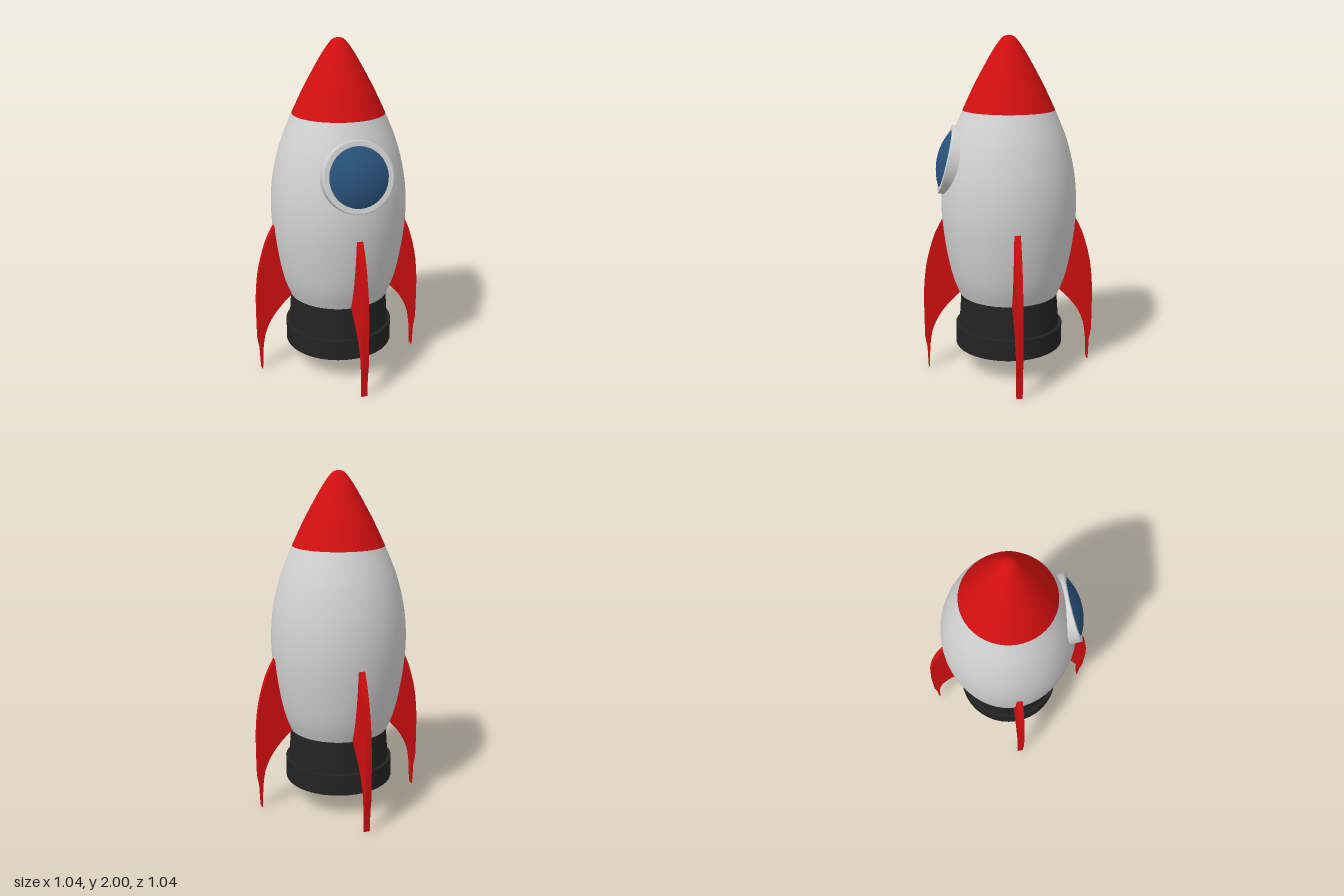
import * as THREE from 'three';

const material = (name, color) => {
  const m = new THREE.MeshStandardMaterial({ color });
  m.name = name;
  return m;
};

const v2 = (points) => points.map(([x, y]) => new THREE.Vector2(x, y));

// Smooth lathe through a few (radius, height) points
const turned = (points, steps) =>
  new THREE.LatheGeometry(new THREE.SplineCurve(v2(points)).getPoints(steps), 48);

export function createModel() {
  const red = material('red paint', 0xd20f10);
  const white = material('hull white', 0xd2d2d2);
  const black = material('engine black', 0x232323);
  const blue = material('window blue', 0x28527a);

  const rocket = new THREE.Group();
  rocket.name = 'rocket';
  const add = (parent, name, geometry, mat) => {
    const mesh = new THREE.Mesh(geometry, mat);
    mesh.name = name;
    parent.add(mesh);
    return mesh;
  };

  // Hull and nose cone
  add(rocket, 'hull', turned([
    [0.3, 0.475], [0.345, 0.6], [0.383, 0.8], [0.4, 1.0],
    [0.387, 1.2], [0.34, 1.4], [0.268, 1.578],
  ], 30), white);
  const hullBase = add(rocket, 'hullBase', new THREE.CircleGeometry(0.3, 48), white);
  hullBase.rotation.x = Math.PI / 2;
  hullBase.position.y = 0.475;
  add(rocket, 'noseCone', turned([
    [0.268, 1.578], [0.21, 1.7], [0.157, 1.8], [0.1, 1.9],
    [0.06, 1.96], [0.03, 1.992], [0, 2.0],
  ], 24), red);

  // Engine: tapered housing above a wider rim
  const housing = add(rocket, 'engineHousing', new THREE.CylinderGeometry(0.29, 0.305, 0.21, 40), black);
  housing.position.y = 0.375;
  const rim = add(rocket, 'engineRim', new THREE.CylinderGeometry(0.325, 0.325, 0.125, 40), black);
  rim.position.y = 0.213;

  // Round window, tilted to follow the hull
  const porthole = new THREE.Group();
  porthole.name = 'porthole';
  porthole.position.set(0, 1.297, 0.375);
  porthole.rotation.x = -0.245;
  rocket.add(porthole);
  const ring = new THREE.Shape().absarc(0, 0, 0.198, 0, Math.PI * 2);
  ring.holes.push(new THREE.Path().absarc(0, 0, 0.172, 0, Math.PI * 2, true));
  const frame = new THREE.ExtrudeGeometry(ring, {
    depth: 0.11, curveSegments: 32, bevelSize: 0.006, bevelThickness: 0.006, bevelSegments: 2,
  });
  frame.translate(0, 0, -0.116);
  add(porthole, 'windowFrame', frame, white);
  // Shallow glass dome
  const rise = 0.045, width = 0.17;
  const radius = (width * width + rise * rise) / (2 * rise);
  const dome = new THREE.SphereGeometry(radius, 40, 10, 0, Math.PI * 2, 0, Math.asin(width / radius));
  dome.translate(0, rise - radius, 0).rotateX(Math.PI / 2);
  add(porthole, 'windowGlass', dome, blue);

  // Four swept fins, each ending in a thin spike
  const outline = new THREE.Shape();
  outline.moveTo(0.37, 0.94);
  outline.lineTo(0.4, 0.93);
  outline.splineThru(v2([[0.452, 0.82], [0.496, 0.66], [0.515, 0.5], [0.518, 0.34], [0.517, 0.2]]));
  outline.lineTo(0.505, 0.13);
  outline.lineTo(0.5, 0);
  outline.lineTo(0.494, 0);
  outline.lineTo(0.487, 0.14);
  outline.splineThru(v2([[0.47, 0.24], [0.43, 0.33], [0.37, 0.41], [0.285, 0.495]]));
  outline.lineTo(0.33, 0.75);
  const finGeometry = new THREE.ExtrudeGeometry(outline, { depth: 0.036, bevelEnabled: false, curveSegments: 16 });
  finGeometry.translate(0, 0, -0.018);
  ['leftFin', 'backFin', 'rightFin', 'frontFin'].forEach((name, i) => {
    add(rocket, name, finGeometry, red).rotation.y = i * Math.PI / 2;
  });

  // Slight sideways offset of the whole craft
  rocket.position.x = -0.004;
  const model = new THREE.Group();
  model.name = 'model';
  model.add(rocket);
  return model;
}
